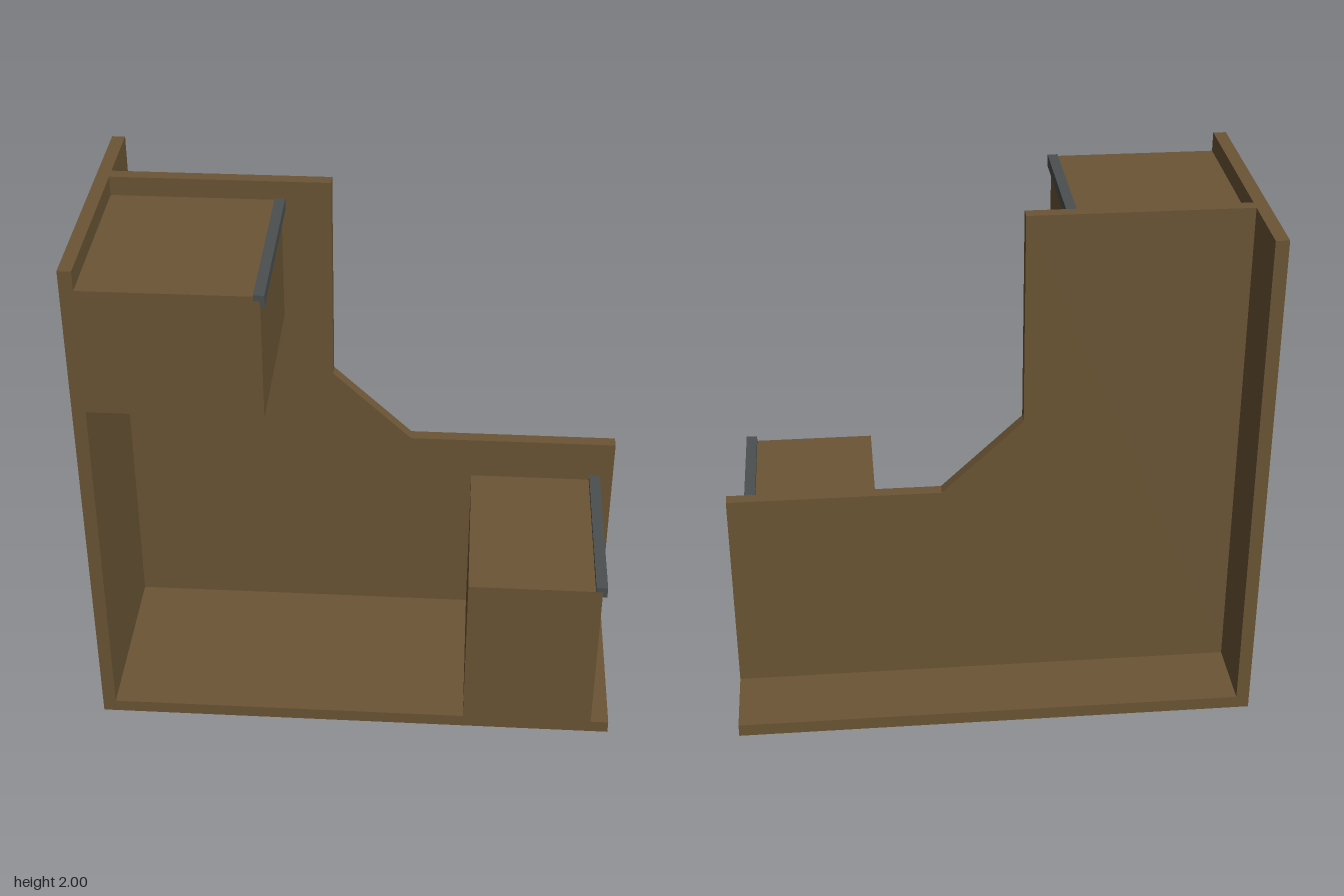
import * as THREE from 'three';

export function createModel() {
  const group = new THREE.Group();
  const wood = new THREE.MeshStandardMaterial({ color: 0x6b5535 });
  wood.name = 'brown wood';
  const metal = new THREE.MeshStandardMaterial({ color: 0x4b4f50 });
  metal.name = 'dark grey metal';

  // Box given by its lower and upper corners
  function box(name, [x0, y0, z0], [x1, y1, z1]) {
    const mesh = new THREE.Mesh(new THREE.BoxGeometry(x1 - x0, y1 - y0, z1 - z0), wood);
    mesh.position.set((x0 + x1) / 2, (y0 + y1) / 2, (z0 + z1) / 2);
    mesh.name = name;
    group.add(mesh);
  }

  // Outline in x and y, extruded from z0 to z1
  function prism(name, points, z0, z1, material) {
    const shape = new THREE.Shape(points.map(([x, y]) => new THREE.Vector2(x, y)));
    const geometry = new THREE.ExtrudeGeometry(shape, { depth: z1 - z0, bevelEnabled: false });
    const mesh = new THREE.Mesh(geometry, material);
    mesh.position.z = z0;
    mesh.name = name;
    group.add(mesh);
  }

  // L-shaped edge trim: outer rectangle with its lower inner corner cut away
  function trim(name, x0, x1, y0, y1, cutX, cutY) {
    prism(name, [[x0, cutY], [cutX, cutY], [cutX, y0], [x1, y0], [x1, y1], [x0, y1]],
      -0.185, 0.532, metal);
  }

  const front = 0.53, panelBack = -0.235, panelFront = -0.185;

  // Base and side wall
  box('base', [-1, 0, -front], [1, 0.05, front]);
  box('sideWall', [-1, 0.05, -front], [-0.95, 2, front]);

  // Upright divider with a stepped, chamfered outline
  prism('dividerPanel', [
    [-0.95, 0.05], [1, 0.05], [1, 0.877], [0.183, 0.877],
    [-0.127, 1.172], [-0.127, 2], [-0.95, 2],
  ], panelBack, panelFront, wood);

  // Two blocks with metal edge trims
  box('upperBlock', [-0.95, 1.43, panelFront], [-0.313, 1.925, front]);
  trim('upperTrim', -0.337, -0.298, 1.887, 1.931, -0.315, 1.908);
  box('lowerBlock', [0.43, 0.05, panelFront], [0.931, 0.705, front]);
  trim('lowerTrim', 0.905, 0.948, 0.683, 0.726, 0.931, 0.705);

  return group;
}
